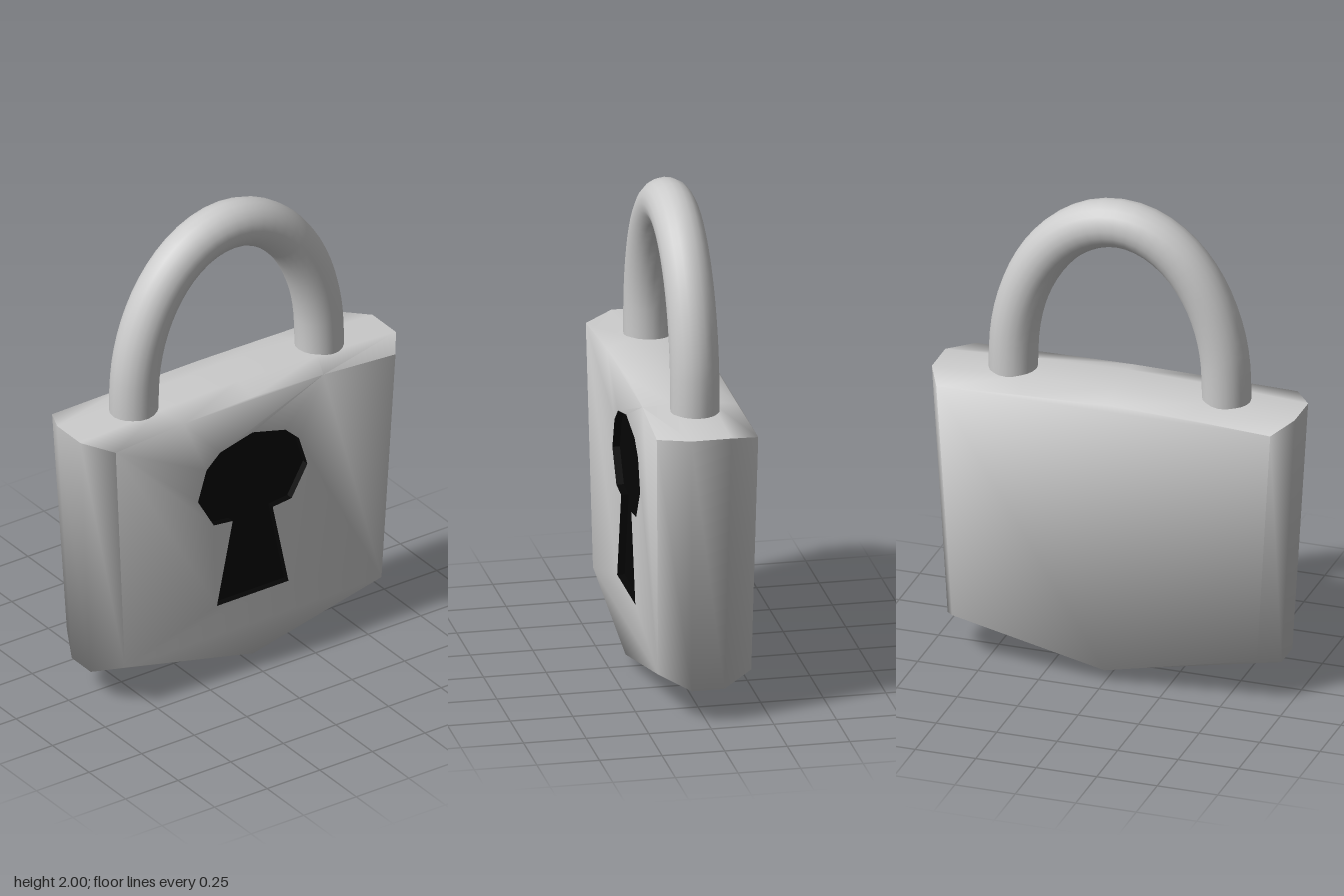
import * as THREE from 'three';
import { toCreasedNormals } from 'three/addons/utils/BufferGeometryUtils.js';

const V2 = (x, y) => new THREE.Vector2(x, y);

// Mirrors the right half of an outline (bottom centre to top centre) onto the left.
function mirrored(half) {
  const left = half.slice(1, -1).reverse().map(([x, y, z]) => [-x, y, z]);
  return [...half, ...left];
}

// One upright section of the body, counter-clockwise seen from the front.
function section(s) {
  return mirrored([
    [0, s.botMid, s.zBot],
    [s.xBot, s.yBot, s.zBot],
    [s.xTop, s.yTop, s.zTop],
    [s.xTop * 0.5, s.yTop + (s.topMid - s.yTop) * 0.65, s.zTop + (s.zMid - s.zTop) * 0.7],
    [0, s.topMid, s.zMid],
  ]);
}

function meshGeometry(points, index) {
  const geo = new THREE.BufferGeometry();
  geo.setAttribute('position', new THREE.Float32BufferAttribute(points.flat(), 3));
  geo.setIndex(index);
  return geo;
}

const FACE_Z = 0.18;
const keyhole = mirrored([
  [0, 0.32], [0.17, 0.32], [0.095, 0.68], [0.185, 0.69], [0.26, 0.82],
  [0.22, 0.95], [0.155, 1.01], [0, 1.05],
].map(([x, y]) => [x, y, FACE_Z]));

// Faceted body: bevelled sections joined front to back, with the keyhole cut from the front.
function bodyGeometry() {
  const rim = { xTop: 0.75, yTop: 1.205, xBot: 0.69, yBot: 0.14, botMid: 0 };
  const rings = [
    { xTop: 0.665, yTop: 1.19, topMid: 1.21, xBot: 0.61, yBot: 0.19, botMid: 0.05, zTop: 0.2, zMid: 0.18, zBot: 0.183 },
    { ...rim, topMid: 1.235, zTop: 0.08, zMid: 0.08, zBot: 0.065 },
    { ...rim, topMid: 1.228, zTop: -0.08, zMid: -0.08, zBot: -0.065 },
    { xTop: 0.69, yTop: 1.18, topMid: 1.2, xBot: 0.63, yBot: 0.19, botMid: 0.05, zTop: -0.2, zMid: -0.185, zBot: -0.185 },
  ].map(section);
  const n = rings[0].length;
  const index = [];
  for (let r = 0; r < rings.length - 1; r++) {
    for (let j = 0; j < n; j++) {
      const a = r * n + j, b = r * n + (j + 1) % n;
      index.push(a, a + n, b, b, a + n, b + n);
    }
  }
  const flat = pts => pts.map(([x, y]) => V2(x, y));
  const holeStart = rings.length * n;
  const front = THREE.ShapeUtils.triangulateShape(flat(rings[0]), [flat(keyhole)]);
  for (const tri of front) index.push(...tri.map(i => (i < n ? i : holeStart + i - n)));
  const back = THREE.ShapeUtils.triangulateShape(flat(rings[3]), []);
  for (const [a, b, c] of back) index.push(3 * n + a, 3 * n + c, 3 * n + b);
  return toCreasedNormals(meshGeometry([...rings.flat(), ...keyhole], index), 1.45);
}

// Shallow dark pocket: walls running inward from the keyhole edge to a flat floor.
function pocketGeometry(depth) {
  const n = keyhole.length;
  const floor = keyhole.map(([x, y, z]) => [x, y, z - depth]);
  const index = [];
  for (let j = 0; j < n; j++) {
    const k = (j + 1) % n;
    index.push(j, k, n + j, k, n + k, n + j);
  }
  const tris = THREE.ShapeUtils.triangulateShape(keyhole.map(([x, y]) => V2(x, y)), []);
  for (const tri of tris) index.push(...tri.map(i => n + i));
  return toCreasedNormals(meshGeometry([...keyhole, ...floor], index), 0.5);
}

// Shackle: tall half-ellipse on two short straight legs.
function shackleGeometry() {
  const points = [new THREE.Vector3(0.44, 1.14, 0)];
  const steps = 16;
  for (let i = 0; i <= steps; i++) {
    const a = (i / steps) * Math.PI;
    points.push(new THREE.Vector3(0.44 * Math.cos(a), 1.28 + 0.625 * Math.sin(a), 0));
  }
  points.push(new THREE.Vector3(-0.44, 1.14, 0));
  return new THREE.TubeGeometry(new THREE.CatmullRomCurve3(points), 36, 0.097, 20, false);
}

export function createModel() {
  const group = new THREE.Group();
  group.name = 'padlock';
  const grey = new THREE.MeshStandardMaterial({ color: 0xcccccc });
  const black = new THREE.MeshStandardMaterial({ color: 0x050505 });
  const add = (name, geometry, material) => {
    const mesh = new THREE.Mesh(geometry, material);
    mesh.name = name;
    group.add(mesh);
  };
  add('body', bodyGeometry(), grey);
  add('keyhole', pocketGeometry(0.03), black);
  add('shackle', shackleGeometry(), grey);
  return group;
}
